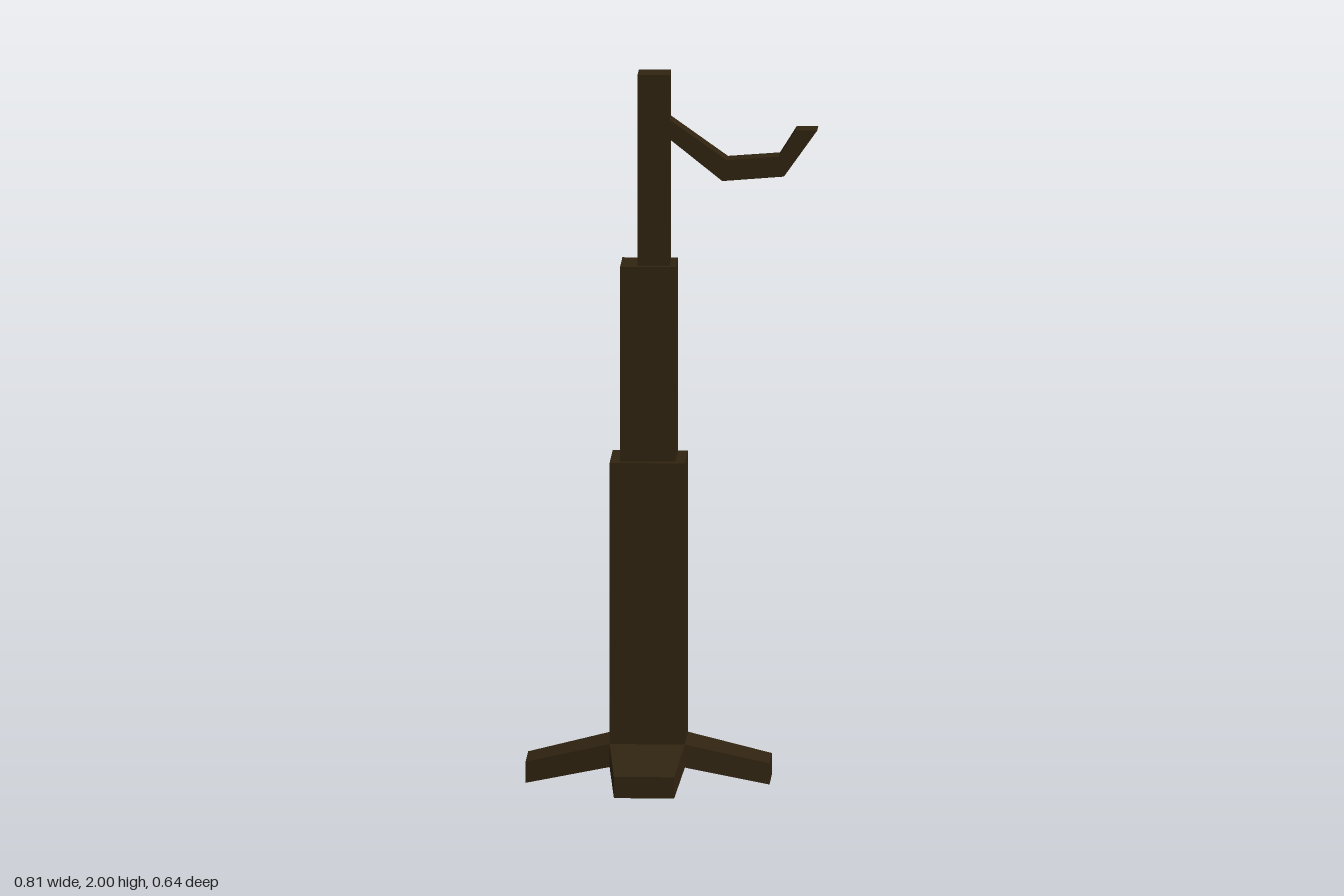
import * as THREE from 'three';

const wood = new THREE.MeshStandardMaterial({ color: 0x302310 });
wood.name = 'darkWood';

const CX = -0.067; // column axis

function add(parent, name, geometry) {
  const mesh = new THREE.Mesh(geometry, wood);
  mesh.name = name;
  parent.add(mesh);
  return mesh;
}

// Box given by its x, y and z ranges
function post(x0, x1, y0, y1, z0, z1) {
  return new THREE.BoxGeometry(x1 - x0, y1 - y0, z1 - z0)
    .translate((x0 + x1) / 2, (y0 + y1) / 2, (z0 + z1) / 2);
}

// Foot pointing along +x: tapers in width and slopes down from the column
function footGeometry(length) {
  const geo = new THREE.BoxGeometry(1, 1, 1);
  const p = geo.attributes.position;
  for (let i = 0; i < p.count; i++) {
    const tip = p.getX(i) > 0;
    const top = p.getY(i) > 0;
    const side = Math.sign(p.getZ(i));
    p.setXYZ(
      i,
      tip ? length : 0.105,
      tip ? (top ? 0.06 : 0) : (top ? 0.115 : 0.05),
      side * (tip ? 0.084 : 0.105)
    );
  }
  const flat = geo.toNonIndexed();
  flat.computeVertexNormals();
  return flat;
}

export function createModel() {
  const group = new THREE.Group();
  group.name = 'lampPost';

  // Stepped column
  add(group, 'lowerColumn', post(-0.172, 0.038, 0.05, 0.91, -0.105, 0.105));
  add(group, 'middleColumn', post(-0.144, 0.011, 0.91, 1.46, -0.079, 0.076));
  add(group, 'upperColumn', post(-0.096, -0.006, 1.46, 2, -0.03, 0.06));

  // Four feet around the base
  for (let i = 0; i < 4; i++) {
    const foot = add(group, 'foot', footGeometry(i % 2 ? 0.322 : 0.34));
    foot.position.x = CX;
    foot.rotation.y = (i * Math.PI) / 2;
  }

  // Bent hook arm
  const outline = [
    [-0.01, 1.82], [0.14, 1.70], [0.312, 1.714], [0.405, 1.845],
    [0.345, 1.845], [0.298, 1.77], [0.153, 1.759], [-0.01, 1.875],
  ].map(([x, y]) => new THREE.Vector2(x, y));
  const hook = new THREE.ExtrudeGeometry(new THREE.Shape(outline), { depth: 0.072, bevelEnabled: false });
  add(group, 'hookArm', hook.translate(0, 0, -0.021));

  return group;
}
